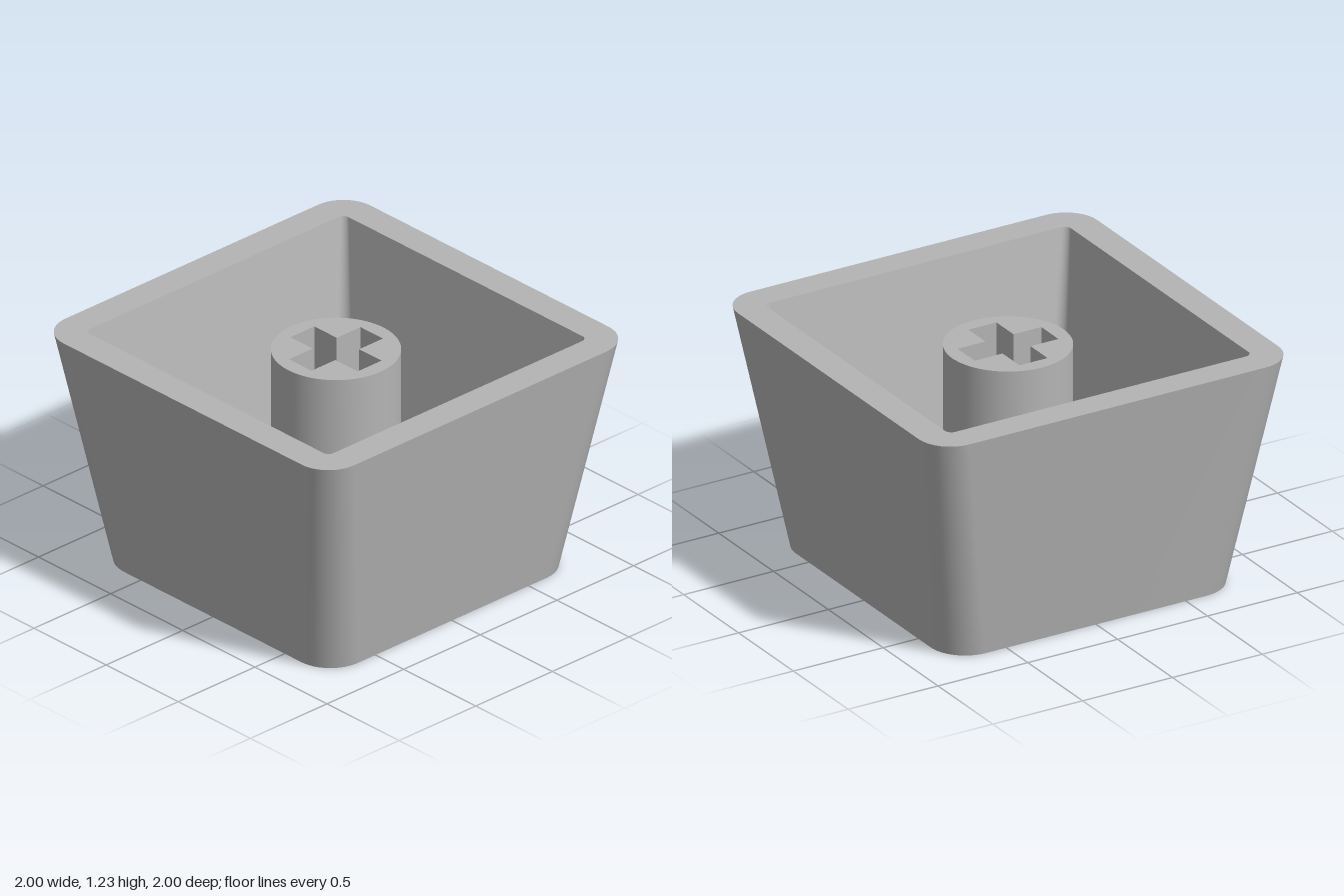
import * as THREE from 'three';
import { toCreasedNormals } from 'three/addons/utils/BufferGeometryUtils.js';

const HEIGHT = 1.225, FLOOR = 0.17, STEM_TOP = 1.15;
const STEPS = 12; // segments per rounded corner

// Rounded rectangle at height y; front and back corners may differ in radius
function ring(y, half, front, rFront, rBack = rFront) {
  const points = [];
  for (let corner = 0; corner < 4; corner++) {
    const sx = corner === 0 || corner === 3 ? 1 : -1;
    const r = corner < 2 ? rFront : rBack;
    const cx = sx * (half - r);
    const cz = corner < 2 ? front - r : r - half;
    for (let i = 0; i <= STEPS; i++) {
      const a = (corner + i / STEPS) * Math.PI / 2;
      points.push([cx + r * Math.cos(a), y, cz + r * Math.sin(a)]);
    }
  }
  return points;
}

// Band of faces between two matching rings
function band(lower, upper) {
  const n = lower.length, index = [];
  for (let i = 0; i < n; i++) {
    const j = (i + 1) % n;
    index.push(i, n + i, j, j, n + i, n + j);
  }
  const geometry = new THREE.BufferGeometry();
  geometry.setAttribute('position', new THREE.Float32BufferAttribute([...lower, ...upper].flat(), 3));
  geometry.setIndex(index);
  geometry.computeVertexNormals();
  return geometry;
}

export function createModel() {
  const group = new THREE.Group();
  const plastic = new THREE.MeshStandardMaterial({ color: 0xb4b4b4 });
  plastic.name = 'grey plastic';
  const add = (name, geometry) => {
    const mesh = new THREE.Mesh(geometry, plastic);
    mesh.name = name;
    group.add(mesh);
    return mesh;
  };

  // Tapered hollow shell, followed from the underside over the rim to the inner floor
  const profile = [
    ring(0, 0, 0, 0),
    ring(0, 0.805, 0.805, 0.19),
    ring(HEIGHT, 1, 1, 0.175),
    ring(HEIGHT, 0.845, 0.845, 0.035),
    ring(FLOOR, 0.65, 0.665, 0.07, 0.085),
    ring(FLOOR, 0, 0, 0),
  ];
  ['underside', 'outerWall', 'rim', 'innerWall', 'innerFloor'].forEach((name, i) =>
    add(name, band(profile[i], profile[i + 1])));

  // Central stem with a cross-shaped socket
  const stem = new THREE.Shape().absarc(0, 0, 0.31, 0, Math.PI * 2);
  const L = 0.233, W = 0.078;
  const cross = [[W, L], [W, W], [L, W], [L, -W], [W, -W], [W, -L],
    [-W, -L], [-W, -W], [-L, -W], [-L, W], [-W, W], [-W, L]];
  stem.holes.push(new THREE.Path(cross.map(([x, y]) => new THREE.Vector2(x, y))));
  const stemGeometry = new THREE.ExtrudeGeometry(stem, {
    depth: STEM_TOP - FLOOR, bevelEnabled: false, curveSegments: 48,
  });
  stemGeometry.rotateX(-Math.PI / 2);
  add('stem', toCreasedNormals(stemGeometry, 0.5)).position.y = FLOOR;

  return group;
}
